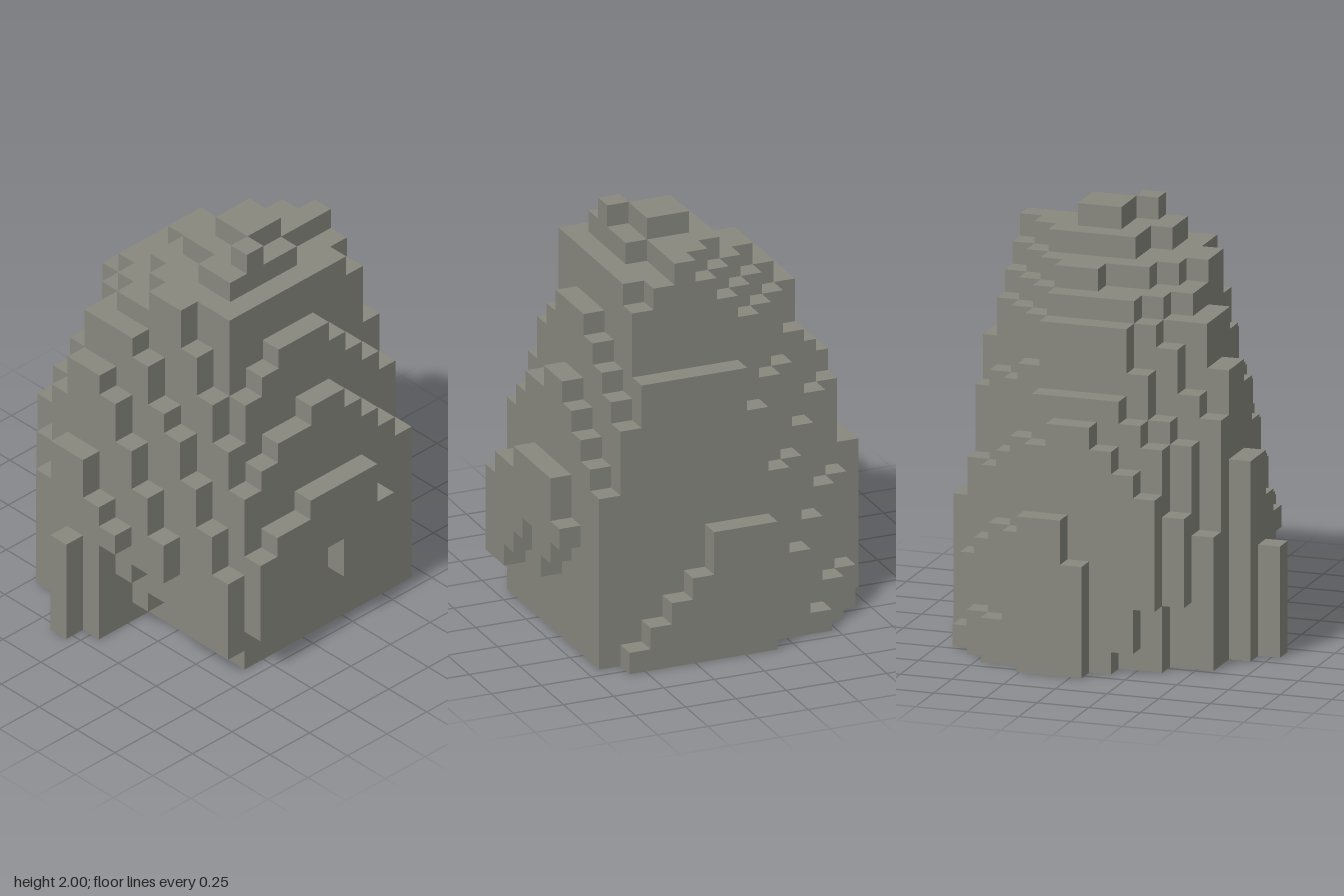
import * as THREE from 'three';
import { mergeGeometries } from 'three/addons/utils/BufferGeometryUtils.js';

const NX = 15, NY = 19, NZ = 15, S = 2 / NY;

// Outline limits in cells: x range and z range per layer, x range per depth row
const xMin = [0, 0, 0, 0, 0, 0, 0, 1, 1, 1, 1, 2, 3, 3, 3, 4, 5, 7, 8];
const xMax = [14, 14, 15, 15, 15, 15, 15, 15, 14, 14, 14, 14, 13, 13, 13, 12, 12, 11, 11];
const zMin = [0, 0, 0, 0, 0, 0, 1, 1, 1, 1, 1, 1, 1, 2, 2, 2, 2, 2, 5];
const zMax = [15, 15, 15, 15, 15, 14, 14, 14, 14, 13, 13, 13, 13, 12, 12, 11, 11, 9, 8];
const planMin = [6, 3, 2, 1, 1, 0, 0, 0, 1, 1, 1, 2, 3, 5, 6];
const planMax = [13, 14, 14, 15, 15, 15, 15, 15, 15, 15, 15, 14, 11, 9, 7];

// Sloping rock facets: a*x + b*y + c*z < d at the cell centre
const facets = [
  [1, 0.52, 2.3, 42.43],   // front, falling to +x
  [1, 0.3, 0.2, 18.4],     // +x side, falling to the front
  [-1, 0.2, 1.2, 12.7],    // front, falling to -x
  [1, 0.29, -0.3, 15.35],  // back, falling to +x
  [-1, 0.3, -1.2, -5.0],   // back, falling to -x
  [-1, 1.8, 0.7, 29.4],    // crown, front
  [-1, 1, -1.2, 5.1],      // crown, back
];
// Shoulder on the front -x side and the wall set back above it
const shoulder = [-1.2, 1, 0.8, 15];
const shoulderWall = [-1.5, 0.6, 1, 12.1];

// Lowest and highest layer of the ledge on the +x side, by depth row
const ledgeLow = { 3: 5, 4: 4, 5: 3, 6: 5, 7: 4, 8: 3, 9: 2, 10: 2 };
const ledgeHigh = { 3: 5, 4: 7, 5: 7, 6: 7, 7: 7, 8: 7, 9: 6, 10: 5 };

function solid(i, j, k) {
  if (i < 0 || j < 0 || k < 0 || i >= NX || j >= NY || k >= NZ) return false;
  if (i < xMin[j] || i >= xMax[j] || k < zMin[j] || k >= zMax[j]) return false;
  if (i < planMin[k] || i >= planMax[k]) return false;
  // cap with one loose block beside it, and the layer below
  if (j === 18) return i < 10 ? k < 7 : k === 7;
  if (j === 17 && ((k < 5 && i > 9) || (k === 8 && i < 9))) return false;
  // ledges on the +x and -x sides
  if (i === 14 && (j < ledgeLow[k] || j > ledgeHigh[k])) return false;
  if (i === 0 && k === 7 && j > 4) return false;
  // stepped slab low on the back
  if (k === 0) return j < (i <= 8 ? 6 : 13 - i);
  // undercuts low on the front
  if (i >= 8) {
    if (k === 13 && j < 5) return false;
    if (k === 12 && j < (i === 8 ? 3 : 4)) return false;
    if (k === 11 && j < (i === 9 || i === 10 ? 2 : 1)) return false;
  }
  if (i <= 2 && k === i + 9 && j < 3) return false;
  if (i === 1 && k === 9 && j < 1) return false;

  const inside = ([a, b, c, d]) => a * (i + 0.5) + b * (j + 0.5) + c * (k + 0.5) < d;
  return facets.every(inside) && (inside(shoulder) || inside(shoulderWall));
}

// One square per side of a cell, facing outward
const H = S / 2;
const square = () => new THREE.PlaneGeometry(S, S);
const sides = [
  { d: [1, 0, 0], g: square().rotateY(Math.PI / 2).translate(H, 0, 0) },
  { d: [-1, 0, 0], g: square().rotateY(-Math.PI / 2).translate(-H, 0, 0) },
  { d: [0, 1, 0], g: square().rotateX(-Math.PI / 2).translate(0, H, 0) },
  { d: [0, -1, 0], g: square().rotateX(Math.PI / 2).translate(0, -H, 0) },
  { d: [0, 0, 1], g: square().translate(0, 0, H) },
  { d: [0, 0, -1], g: square().rotateY(Math.PI).translate(0, 0, -H) },
];

export function createModel() {
  // Keep only the exposed sides of the cells
  const parts = [];
  for (let i = 0; i < NX; i++)
    for (let j = 0; j < NY; j++)
      for (let k = 0; k < NZ; k++) {
        if (!solid(i, j, k)) continue;
        for (const { d, g } of sides)
          if (!solid(i + d[0], j + d[1], k + d[2]))
            parts.push(g.clone().translate((i + 0.5 - NX / 2) * S, (j + 0.5) * S, (k + 0.5 - NZ / 2) * S));
      }

  const rock = new THREE.Mesh(
    mergeGeometries(parts),
    new THREE.MeshStandardMaterial({ color: 0x88887f, flatShading: true })
  );
  rock.name = 'rock';
  const model = new THREE.Group();
  model.name = 'blockyRock';
  model.add(rock);
  return model;
}
